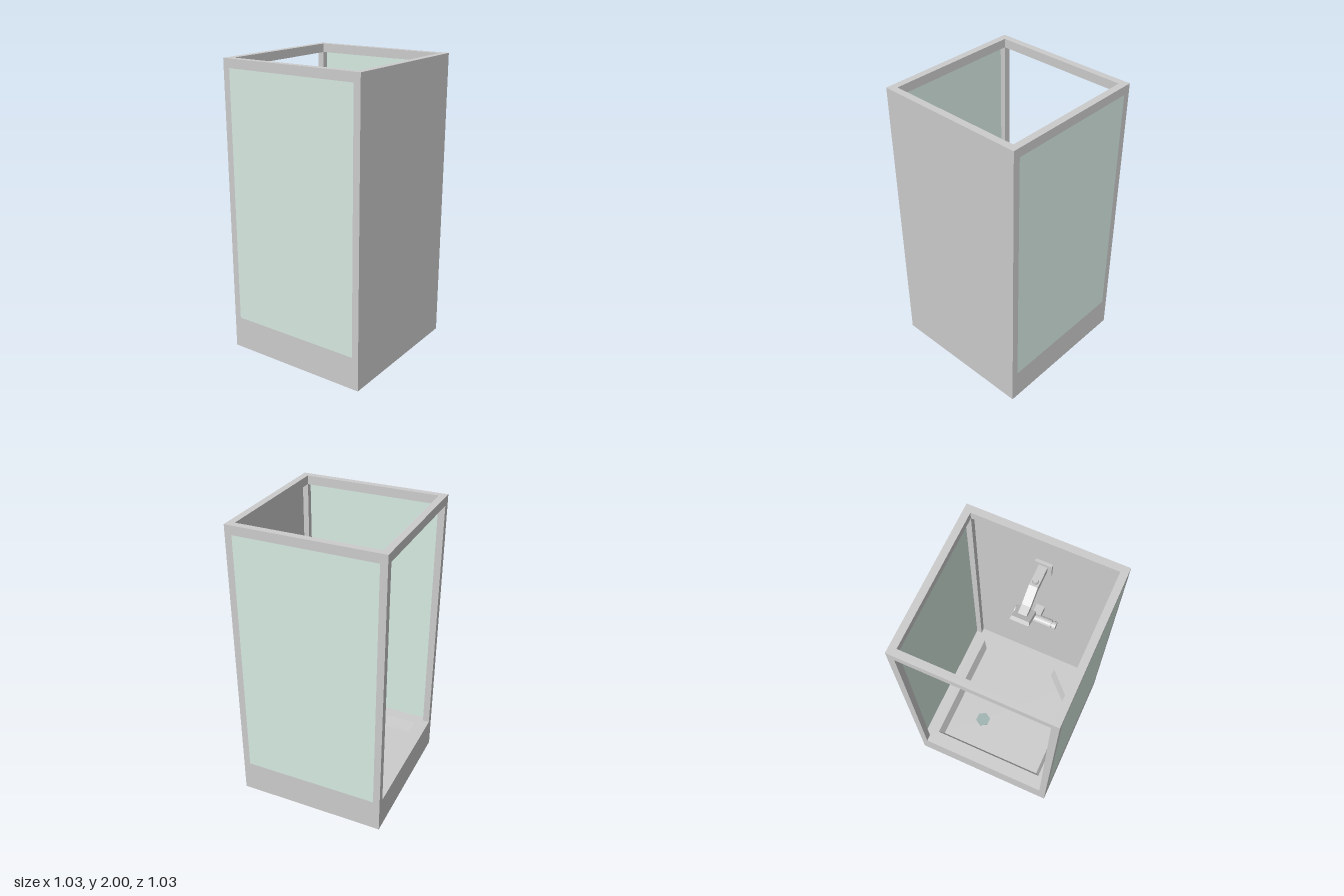
import * as THREE from 'three';

const grey = new THREE.MeshStandardMaterial({ color: 0xcccccc, flatShading: true });
const glass = new THREE.MeshStandardMaterial({ color: 0xd6eae1 });
const drainGreen = new THREE.MeshStandardMaterial({ color: 0x9fb3b0 });

const H = 0.513;      // half width of the cabin
const T = 0.047;      // frame thickness
const RIM = 0.225;    // top of the tray
const FLOOR = 0.145;  // bottom of the basin
const BEAM = 1.94;    // underside of the top frame

export function createModel() {
  const model = new THREE.Group();

  const add = (name, geometry, material = grey, parent = model) => {
    const mesh = new THREE.Mesh(geometry, material);
    mesh.name = name;
    parent.add(mesh);
    return mesh;
  };
  // Box given by its limits on each axis
  const box = (name, x0, x1, y0, y1, z0, z1, material, parent) => {
    const mesh = add(name, new THREE.BoxGeometry(x1 - x0, y1 - y0, z1 - z0), material, parent);
    mesh.position.set((x0 + x1) / 2, (y0 + y1) / 2, (z0 + z1) / 2);
    return mesh;
  };

  // Tray: base slab, rim with a cut-corner opening, sloping basin walls
  box('trayBase', -H, H, 0, FLOOR, -H, H);
  const top = [[-0.415, -0.415], [0.415, -0.415], [0.415, 0.415], [-0.19, 0.415], [-0.415, 0.19]];
  const low = [[-0.388, -0.388], [0.386, -0.388], [0.386, 0.386], [-0.178, 0.386], [-0.388, 0.178]];
  const toShape = (pts) => pts.map(([x, z]) => new THREE.Vector2(x, -z));
  const rim = new THREE.Shape(toShape([[-H, -H], [-H, H], [H, H], [H, -H]]));
  rim.holes.push(new THREE.Path(toShape(top)));
  const rimGeo = new THREE.ExtrudeGeometry(rim, { depth: RIM - FLOOR, bevelEnabled: false });
  rimGeo.rotateX(-Math.PI / 2);
  add('trayRim', rimGeo).position.y = FLOOR;

  const wall = [];
  top.forEach((a, i) => {
    const j = (i + 1) % top.length;
    const A = [a[0], RIM, a[1]], B = [top[j][0], RIM, top[j][1]];
    const C = [low[j][0], FLOOR, low[j][1]], D = [low[i][0], FLOOR, low[i][1]];
    wall.push(...A, ...D, ...C, ...A, ...C, ...B);
  });
  const wallGeo = new THREE.BufferGeometry();
  wallGeo.setAttribute('position', new THREE.Float32BufferAttribute(wall, 3));
  wallGeo.computeVertexNormals();
  add('basinWalls', wallGeo, new THREE.MeshStandardMaterial({
    color: 0xcccccc, flatShading: true, side: THREE.DoubleSide }));

  // Six-sided drain
  add('drain', new THREE.CylinderGeometry(0.055, 0.055, 0.004, 6), drainGreen)
    .position.set(0.161, FLOOR + 0.002, -0.165);

  // Frame: corner posts and top beams
  const I = H - T;
  for (const sx of [-1, 1]) {
    for (const sz of [-1, 1]) {
      const x = sx * (H - T / 2), z = sz * (H - T / 2);
      box('cornerPost', x - T / 2, x + T / 2, RIM, BEAM, z - T / 2, z + T / 2);
    }
  }
  const ring = new THREE.Shape(toShape([[-H, -H], [-H, H], [H, H], [H, -H]]));
  ring.holes.push(new THREE.Path(toShape([[-I, -I], [I, -I], [I, I], [-I, I]])));
  const ringGeo = new THREE.ExtrudeGeometry(ring, { depth: 2 - BEAM, bevelEnabled: false });
  ringGeo.rotateX(-Math.PI / 2);
  add('topFrame', ringGeo).position.y = BEAM;

  // Panels flush with the outside; the back stays open
  const P = 0.008;
  box('frontPanel', -I, I, RIM, BEAM, H - P, H);
  box('rightGlass', -H, -H + P, RIM, BEAM, -I, I, glass);
  box('leftGlass', H - P, H, RIM, BEAM, -I, I, glass);

  // Mixer tap: bar with a stepped handle on each end
  const mixer = new THREE.Group();
  mixer.name = 'mixerTap';
  model.add(mixer);
  const rod = (name, r, x0, x1) => {
    const m = add(name, new THREE.CylinderGeometry(r, r, x1 - x0, 16), grey, mixer);
    m.rotation.z = Math.PI / 2;
    m.position.set((x0 + x1) / 2, 1.05, 0.415);
  };
  rod('mixerBody', 0.03, -0.12, 0.12);
  for (const s of [-1, 1]) {
    rod('handleNeck', 0.02, s * 0.125 - 0.012, s * 0.125 + 0.012);
    rod('handle', 0.03, s * 0.143 - 0.011, s * 0.143 + 0.011);
  }
  box('mixerWallMount', -0.03, 0.03, 1.025, 1.075, 0.43, H - P, grey, mixer);

  // Shower arm: side profile extruded across its width
  const shower = new THREE.Group();
  shower.name = 'shower';
  model.add(shower);
  box('wallPlate', -0.057, 0.057, 1.59, 1.7, 0.485, H - P, grey, shower);
  const arm = new THREE.Shape([[-0.5, 1.62], [-0.5, 1.675], [-0.335, 1.675], [-0.23, 1.605],
    [-0.17, 1.59], [-0.19, 1.55], [-0.23, 1.55], [-0.335, 1.62]].map(([a, b]) => new THREE.Vector2(a, b)));
  const armGeo = new THREE.ExtrudeGeometry(arm, { depth: 0.058, bevelEnabled: false });
  armGeo.translate(0, 0, -0.029).rotateY(Math.PI / 2);
  add('showerArm', armGeo, grey, shower);
  add('armKnob', new THREE.CylinderGeometry(0.02, 0.02, 0.03, 16), grey, shower)
    .position.set(0, 1.69, 0.366);

  // Square shower head, tilted to spray towards the back
  const head = add('showerHead', new THREE.CylinderGeometry(0.084, 0.09, 0.03, 4).rotateY(Math.PI / 4), grey, shower);
  head.position.set(0, 1.545, 0.19);
  head.rotation.x = 0.45;

  return model;
}
